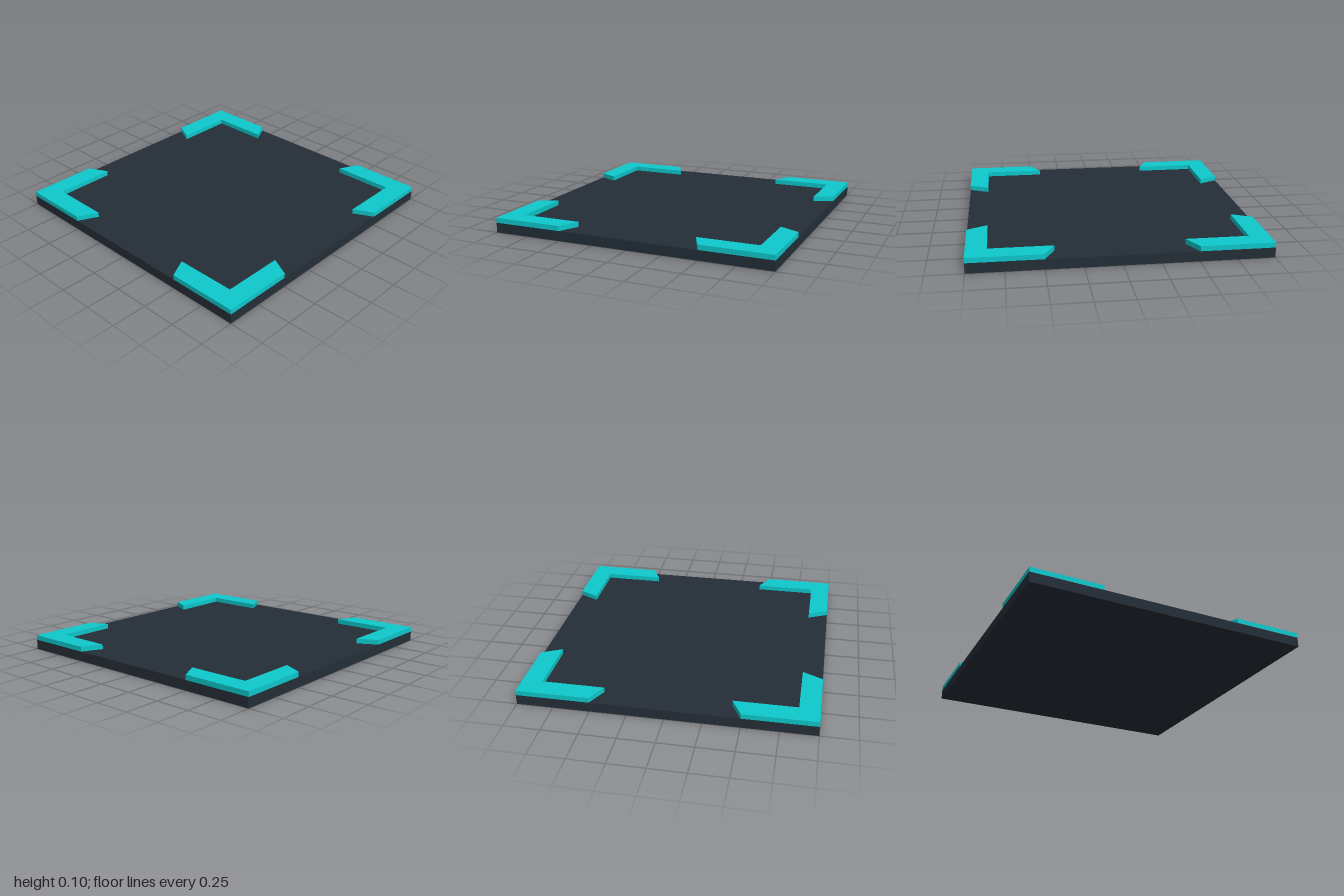
import * as THREE from 'three';

const BASE_HEIGHT = 0.07;
const BRACKET_HEIGHT = 0.035;

export function createModel() {
  const group = new THREE.Group();
  group.name = 'floorTile';

  const slate = new THREE.MeshStandardMaterial({ color: 0x242e37 });
  slate.name = 'dark slate';
  const teal = new THREE.MeshStandardMaterial({ color: 0x0ec8cc });
  teal.name = 'bright teal';

  // Flat square slab
  const base = new THREE.Mesh(new THREE.BoxGeometry(2, BASE_HEIGHT, 2), slate);
  base.name = 'baseSlab';
  base.position.y = BASE_HEIGHT / 2;
  group.add(base);

  // L-shaped corner bracket with slanted ends
  const outline = new THREE.Shape([
    [1, 1], [0.5, 1], [0.43, 0.86], [0.86, 0.86], [0.86, 0.43], [1, 0.5],
  ].map(([x, y]) => new THREE.Vector2(x, y)));
  const bracketGeometry = new THREE.ExtrudeGeometry(outline, {
    depth: BRACKET_HEIGHT,
    bevelEnabled: false,
  });
  bracketGeometry.rotateX(-Math.PI / 2);

  // One bracket at each corner
  ['backLeft', 'backRight', 'frontRight', 'frontLeft'].forEach((corner, i) => {
    const bracket = new THREE.Mesh(bracketGeometry, teal);
    bracket.name = `${corner}CornerBracket`;
    bracket.position.y = BASE_HEIGHT;
    bracket.rotation.y = i * Math.PI / 2;
    group.add(bracket);
  });

  return group;
}
